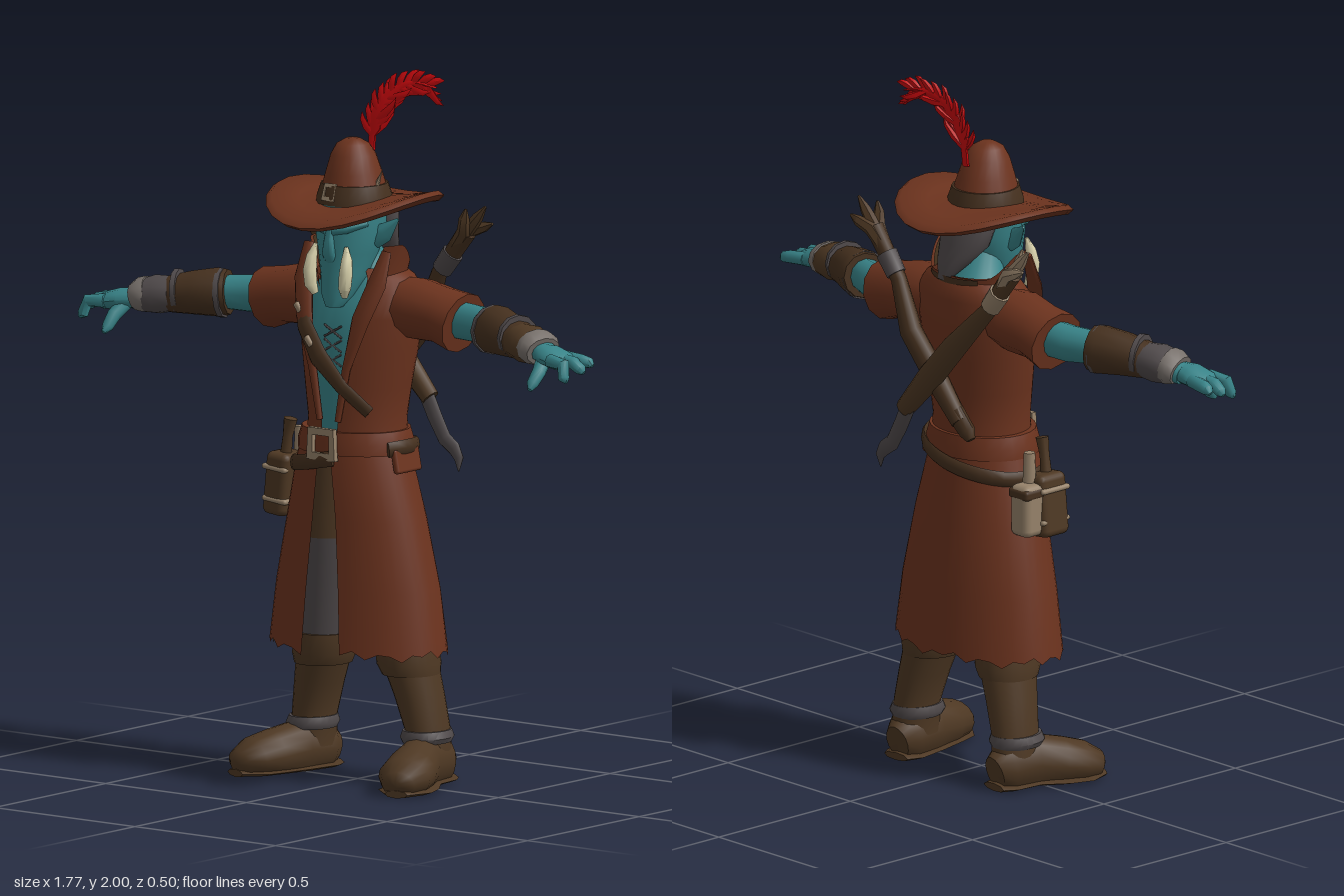
import * as THREE from 'three';
import { toCreasedNormals } from 'three/addons/utils/BufferGeometryUtils.js';
import { RoundedBoxGeometry } from 'three/addons/geometries/RoundedBoxGeometry.js';

const mat = (name, color, side = THREE.FrontSide) => {
  const m = new THREE.MeshStandardMaterial({ color, side });
  m.name = name;
  return m;
};
const V = (a) => new THREE.Vector3(a[0], a[1], a[2]);
const Y = new THREE.Vector3(0, 1, 0), Z = new THREE.Vector3(0, 0, 1);

// Skin over elliptical sections [x, y, z, halfWidth, halfHeight, frontGap].
// level: keep every section horizontal; up: direction of the section's height.
function tube(pts, { seg = 12, up = Z, level = false, caps = true, flip = false, jag = 0, inset = 0 } = {}) {
  const pos = [], idx = [], n = pts.length, w = seg + 1;
  pts.forEach((p, i) => {
    const T = level ? Y.clone() : V(pts[Math.min(i + 1, n - 1)]).sub(V(pts[Math.max(i - 1, 0)])).normalize();
    const S = T.clone().cross(up).normalize(), U = S.clone().cross(T), gap = p[5] || 0;
    for (let j = 0; j <= seg; j++) {
      const a = gap + (2 * Math.PI - 2 * gap) * j / seg;
      const v = V(p).addScaledVector(S, Math.sin(a) * (p[3] - inset)).addScaledVector(U, Math.cos(a) * (p[4] - inset));
      if (i === 0) v.y += jag * [0, 1, -0.6, 0.5, 0.2, -1, 0.4][j % 7];
      pos.push(v.x, v.y, v.z);
    }
  });
  const tri = (a, b, c) => (flip ? idx.push(a, c, b) : idx.push(a, b, c));
  for (let i = 0; i < n - 1; i++) for (let j = 0; j < seg; j++) {
    const a = i * w + j, b = a + w;
    tri(a, a + 1, b + 1);
    tri(a, b + 1, b);
  }
  if (caps) [0, n - 1].forEach((r, end) => {
    const c = pos.length / 3;
    pos.push(pts[r][0], pts[r][1], pts[r][2]);
    for (let j = 0; j < seg; j++) end ? tri(c, r * w + j, r * w + j + 1) : tri(c, r * w + j + 1, j);
  });
  const g = new THREE.BufferGeometry();
  g.setAttribute('position', new THREE.Float32BufferAttribute(pos, 3));
  g.setIndex(idx);
  return toCreasedNormals(g, 0.9);
}

// Move every vertex's height by a rule
function warpY(g, rule) {
  const p = g.attributes.position;
  for (let i = 0; i < p.count; i++) p.setY(i, rule(p.getX(i), p.getY(i), p.getZ(i)));
  g.computeVertexNormals();
  return toCreasedNormals(g, 0.9);
}

export function createModel() {
  const root = new THREE.Group();
  root.name = 'hunter';
  const M = {
    coat: mat('coat brown', 0x6c331e, THREE.DoubleSide), skin: mat('teal skin', 0x388388),
    boot: mat('boot brown', 0x4e3823), leather: mat('dark leather', 0x45301e),
    lining: mat('lining', 0x43301c), bone: mat('bone tan', 0x96826a), metal: mat('dark metal', 0x504a4b),
    tusk: mat('tusk cream', 0xd9d2ac), red: mat('feather red', 0xcc080d), pale: mat('pale grey wrap', 0x77706b),
  };
  const add = (name, g, m, p) => {
    const o = new THREE.Mesh(g, m);
    o.name = name;
    if (p) o.position.set(...p);
    root.add(o);
    return o;
  };
  const box = (name, size, m, p, r = 0.008) => add(name, new RoundedBoxGeometry(...size, 2, r), m, p);
  const level = { level: true, seg: 24 };

  // Bare chest, neck and head
  add('chest', tube([[0, 0.93, 0, 0.135, 0.115], [0, 1.1, 0, 0.145, 0.115], [0, 1.25, -0.01, 0.17, 0.125],
    [0, 1.37, -0.02, 0.18, 0.115], [0, 1.44, -0.03, 0.09, 0.08], [0, 1.52, 0, 0.06, 0.06]], level), M.skin);
  add('head', tube([[0, 1.35, 0.105, 0.025, 0.025], [0, 1.38, 0.085, 0.048, 0.048], [0, 1.44, 0.055, 0.066, 0.075],
    [0, 1.5, 0.04, 0.082, 0.09], [0, 1.56, 0.03, 0.1, 0.1], [0, 1.65, 0.025, 0.095, 0.095]], level), M.skin);
  add('nose', tube([[0, 1.59, 0.115, 0.012, 0.012], [0, 1.54, 0.128, 0.016, 0.014], [0, 1.5, 0.13, 0.022, 0.015],
    [0, 1.475, 0.118, 0.016, 0.01]]), M.skin);
  add('hair', tube([[0.02, 1.44, -0.125, 0.02, 0.012], [0.01, 1.49, -0.095, 0.055, 0.04], [0, 1.54, -0.065, 0.085, 0.052],
    [0, 1.6, -0.05, 0.097, 0.06], [0, 1.635, -0.04, 0.09, 0.055]], level), M.metal);
  for (const y of [1.2, 1.24, 1.28]) for (const r of [0.5, -0.5]) box('lace', [0.07, 0.006, 0.006], M.metal, [0, y, 0.112], 0.002).rotation.z = r;

  // Coat: outer shells with a lining just inside
  const skirt = [[-0.012, 0.375, -0.02, 0.284, 0.18, 0.24], [-0.012, 0.55, -0.018, 0.26, 0.168, 0.22],
    [-0.01, 0.75, -0.01, 0.216, 0.152, 0.19], [-0.01, 0.9, 0, 0.178, 0.14, 0.14], [-0.01, 0.98, 0, 0.155, 0.13, 0.1]];
  const jacket = [[0, 0.95, 0, 0.15, 0.13, 0.14], [0, 1.03, 0, 0.145, 0.128, 0.2], [0, 1.12, -0.003, 0.16, 0.13, 0.3],
    [0, 1.22, -0.01, 0.178, 0.135, 0.38], [0, 1.32, -0.017, 0.192, 0.132, 0.42], [0, 1.39, -0.022, 0.195, 0.122, 0.48],
    [0, 1.43, -0.03, 0.16, 0.108, 0.55], [0, 1.455, -0.03, 0.11, 0.09, 0.6]];
  const collar = [[0, 1.37, -0.02, 0.125, 0.11, 0.68], [0, 1.45, -0.015, 0.135, 0.11, 0.85], [0, 1.525, -0.01, 0.152, 0.115, 1.05]];
  const dip = (x, y, z) => y - Math.max(0, y - 1.37) * 0.45 * THREE.MathUtils.smoothstep(-z, 0, 0.1);
  for (const [name, rings, jag] of [['coatSkirt', skirt, 0.014], ['jacket', jacket, 0], ['collar', collar, 0]]) {
    const opt = { level: true, seg: 40, caps: false, jag };
    const shape = (o) => (name === 'collar' ? warpY(tube(rings, o), dip) : tube(rings, o));
    add(name, shape(opt), M.coat);
    add(name + 'Lining', shape({ ...opt, flip: true, inset: 0.008 }), M.lining);
  }
  add('collarBackBand', tube([[0, 1.425, -0.015, 0.137, 0.118, 2.4], [0, 1.455, -0.015, 0.142, 0.122, 2.4]],
    { level: true, seg: 16, caps: false }), M.leather);
  box('pocketFlap', [0.02, 0.07, 0.11], M.coat, [0.172, 0.92, 0]).rotation.z = 0.2;

  // Belts, buckle and chest strap
  add('belt', tube([[-0.005, 0.935, 0, 0.174, 0.146], [-0.005, 0.965, 0, 0.172, 0.146], [-0.005, 1.0, 0, 0.16, 0.14]], level), M.coat);
  const hip = [];
  for (let i = 0; i <= 28; i++) {
    const a = Math.PI * (0.06 - 1.7 * i / 28), x = Math.sin(a) * 0.186 - 0.01;
    hip.push([x, 0.922 + 0.2 * x, Math.cos(a) * 0.15, 0.008, 0.022]);
  }
  add('hipBelt', tube(hip, { seg: 8, up: Y }), M.leather);
  const frame = new THREE.Shape([[-0.05, -0.045], [0.05, -0.045], [0.045, 0.045], [-0.045, 0.045]].map((p) => new THREE.Vector2(...p)));
  frame.holes.push(new THREE.Path([[-0.03, -0.025], [-0.03, 0.025], [0.03, 0.025], [0.03, -0.025]].map((p) => new THREE.Vector2(...p))));
  const buckle = new THREE.ExtrudeGeometry(frame, { depth: 0.016, bevelEnabled: false });
  add('beltBuckle', buckle, M.bone, [-0.01, 0.965, 0.14]);
  add('chestStrap', tube([[-0.15, 1.42, -0.01, 0.02, 0.008], [-0.135, 1.37, 0.085, 0.024, 0.01], [-0.09, 1.29, 0.125, 0.028, 0.012],
    [-0.03, 1.21, 0.14, 0.032, 0.014], [0.05, 1.13, 0.137, 0.022, 0.01], [0.12, 1.06, 0.1, 0.02, 0.008]], { seg: 8 }), M.leather);
  for (const [x, y, z] of [[-0.118, 1.335, 0.115], [-0.06, 1.25, 0.142]]) box('strapStud', [0.02, 0.035, 0.02], M.bone, [x, y, z]).rotation.z = 0.7;

  // Hip pouch with flask
  box('pouch', [0.08, 0.18, 0.1], M.boot, [-0.245, 0.815, 0.02], 0.02).rotation.z = -0.1;
  for (const y of [0.77, 0.86]) box('pouchStrap', [0.086, 0.016, 0.106], M.bone, [-0.245, y, 0.02]).rotation.z = -0.1;
  box('flask', [0.075, 0.15, 0.08], M.bone, [-0.238, 0.81, -0.045], 0.02);
  box('flaskBand', [0.079, 0.03, 0.084], M.leather, [-0.238, 0.86, -0.045], 0.01);
  add('flaskNeck', new THREE.CylinderGeometry(0.016, 0.02, 0.1, 10), M.bone, [-0.228, 0.92, -0.03]);
  add('knifeHandle', tube([[-0.235, 0.87, 0.03, 0.018, 0.018], [-0.225, 0.95, 0.03, 0.014, 0.014], [-0.215, 1.0, 0.03, 0.02, 0.018]]), M.boot);

  // Hat
  const profile = [[0.08, 0], [0.16, -0.008], [0.235, -0.012], [0.25, 0.002], [0.235, 0.016], [0.16, 0.012], [0.08, 0.02]];
  const brim = new THREE.LatheGeometry(profile.map((p) => new THREE.Vector2(...p)), 24);
  add('hatBrim', warpY(brim, (x, y, z) => y + 1.63 + 0.55 * x * x - 0.5 * z * z - 0.05 * z), M.coat, [-0.01, 0, 0]);
  add('hatCrown', tube([[0, 1.61, 0.015, 0.108, 0.108], [0, 1.67, 0.015, 0.094, 0.096], [0, 1.72, 0.018, 0.078, 0.082],
    [0, 1.77, 0.02, 0.063, 0.065], [0, 1.8, 0.022, 0.046, 0.046], [0, 1.815, 0.022, 0.02, 0.02]], level), M.coat);
  add('hatBand', tube([[0, 1.635, 0.015, 0.107, 0.109], [0, 1.655, 0.015, 0.105, 0.107], [0, 1.69, 0.015, 0.093, 0.096]], level), M.leather);
  const hb = add('hatBuckle', buckle, M.bone, [-0.012, 1.67, 0.108]);
  hb.scale.set(0.45, 0.55, 0.5);
  hb.rotation.x = -0.3;
  add('hatTooth', new THREE.ConeGeometry(0.012, 0.08, 6), M.bone, [0.088, 1.7, 0.02]).rotation.z = -0.4;

  // Feather: quill, vane and curved barbs
  const quill = new THREE.CatmullRomCurve3([[0, 1.76, -0.06], [0.002, 1.83, -0.068], [0.022, 1.89, -0.075], [0.06, 1.94, -0.09], [0.12, 1.965, -0.11], [0.18, 1.955, -0.125]].map(V));
  const vane = [];
  for (let i = 0; i <= 14; i++) vane.push([...quill.getPoint(i / 14).toArray(), i < 3 ? 0.012 : 0.032 * (1.05 - i / 14), 0.007]);
  add('featherVane', tube(vane, { seg: 6 }), M.red);
  for (let i = 0; i < 12; i++) for (const s of [1, -1]) {
    const t = 0.14 + i * 0.07, p = quill.getPoint(t), d = quill.getTangent(t);
    const side = new THREE.Vector3(d.y, -d.x, (i % 3 - 1) * 0.25).multiplyScalar(s), L = (s > 0 ? 0.075 : 0.05) * (1.1 - 0.4 * t);
    const at = (f, o, r) => [...p.clone().addScaledVector(d, f * L).addScaledVector(side, o * L).toArray(), r, r * 0.6];
    add('featherBarb', tube([at(0, 0, 0.008), at(0.45, 0.4, 0.012), at(0.85, 0.65, 0.009), at(1.2, 0.72, 0.001)], { seg: 5 }), M.red);
  }

  for (const s of [1, -1]) {
    const m = (pts) => pts.map(([x, ...r]) => [s * x, ...r]);
    const limb = (name, pts, material, opt) => add(name, tube(m(pts), opt), material);
    const arm = { up: Y };

    // Face side parts
    limb('ear', [[0.08, 1.54, 0.03, 0.012, 0.03], [0.115, 1.56, 0.025, 0.01, 0.028], [0.155, 1.6, 0.015, 0.003, 0.004]], M.skin, arm);
    limb('brow', [[0.01, 1.565, 0.125, 0.012, 0.012], [0.05, 1.575, 0.115, 0.014, 0.014], [0.09, 1.59, 0.07, 0.01, 0.01]], M.skin, arm);
    limb('tusk', [[0.052, 1.385, 0.125, 0.01, 0.01], [0.06, 1.41, 0.135, 0.018, 0.018], [0.064, 1.45, 0.135, 0.019, 0.02],
      [0.062, 1.49, 0.128, 0.015, 0.016], [0.054, 1.525, 0.12, 0.005, 0.005]], M.tusk, { seg: 8 });

    // Lapel and sleeve
    limb('lapel', [[0.138, 1.51, 0.045, 0.016, 0.01], [0.13, 1.42, 0.08, 0.032, 0.012], [0.1, 1.32, 0.115, 0.03, 0.012],
      [0.06, 1.18, 0.128, 0.014, 0.01], [0.032, 1.03, 0.13, 0.01, 0.008]], M.coat, { seg: 8 });
    limb('sleeve', [[0.1, 1.35, -0.03, 0.08, 0.08], [0.2, 1.345, -0.033, 0.095, 0.088], [0.28, 1.335, -0.037, 0.088, 0.08],
      [0.345, 1.32, -0.037, 0.093, 0.087]], M.coat, arm);

    // Arm, bracer and wrist wrap
    limb('arm', [[0.28, 1.33, -0.04, 0.05, 0.055], [0.4, 1.325, -0.03, 0.05, 0.053], [0.47, 1.325, -0.005, 0.047, 0.048],
      [0.6, 1.32, 0.045, 0.045, 0.045], [0.74, 1.29, 0.08, 0.036, 0.03]], M.skin, arm);
    limb('bracer', [[0.465, 1.325, -0.01, 0.064, 0.064], [0.49, 1.323, 0.0, 0.07, 0.07], [0.56, 1.318, 0.03, 0.062, 0.062], [0.625, 1.31, 0.053, 0.055, 0.052]], M.leather, arm);
    for (const [x, r] of [[0.474, 0.07], [0.595, 0.062]]) {
      limb('bracerRim', [[x, 1.322, (x - 0.48) * 0.37, r, r], [x + 0.014, 1.321, (x - 0.466) * 0.37, r, r]], M.metal, arm);
    }
    limb('wristGuard', [[0.615, 1.312, 0.05, 0.056, 0.05], [0.66, 1.308, 0.063, 0.064, 0.055], [0.71, 1.3, 0.078, 0.06, 0.045]], s > 0 ? M.boot : M.metal, arm);
    limb('wristWrap', [[0.685, 1.308, 0.07, 0.062, 0.05], [0.705, 1.303, 0.077, 0.066, 0.05], [0.725, 1.297, 0.083, 0.056, 0.04]], M.pale, arm);

    // Hand
    limb('palm', [[0.71, 1.295, 0.08, 0.032, 0.028], [0.76, 1.29, 0.095, 0.05, 0.03], [0.81, 1.28, 0.1, 0.052, 0.025], [0.83, 1.275, 0.102, 0.038, 0.016]], M.skin, arm);
    for (const [z0, x1, y1, z1] of [[0.065, 0.877, 1.268, 0.055], [0.1, 0.882, 1.255, 0.1], [0.135, 0.865, 1.235, 0.155]]) {
      limb('finger', [[0.79, 1.285, z0, 0.02, 0.02], [0.845, 1.28, (z0 + z1) / 2, 0.02, 0.019], [x1 - 0.01, y1 + 0.008, z1, 0.017, 0.016], [x1, y1, z1, 0.007, 0.007]], M.skin, { up: Y, seg: 8 });
    }
    limb('thumb', [[0.745, 1.28, 0.105, 0.024, 0.022], [0.755, 1.25, 0.14, 0.02, 0.02], [0.755, 1.22, 0.17, 0.017, 0.016], [0.757, 1.205, 0.185, 0.007, 0.007]], M.skin, { up: Y, seg: 8 });

    // Trousers and boot
    limb('trouserKnee', [[0.145, 0.36, -0.04, 0.072, 0.082], [0.115, 0.58, -0.02, 0.082, 0.087], [0.102, 0.7, -0.013, 0.08, 0.088]], M.metal, level);
    limb('trouserThigh', [[0.104, 0.68, -0.014, 0.082, 0.09], [0.075, 0.93, 0, 0.075, 0.1]], M.boot, level);
    limb('bootShaft', [[0.205, 0.07, -0.06, 0.06, 0.075], [0.202, 0.15, -0.06, 0.058, 0.072], [0.178, 0.25, -0.052, 0.066, 0.078], [0.15, 0.35, -0.042, 0.074, 0.088]], M.boot, level);
    limb('bootCuff', [[0.156, 0.31, -0.043, 0.078, 0.088], [0.15, 0.34, -0.04, 0.086, 0.098], [0.143, 0.4, -0.037, 0.082, 0.095]], M.boot, level);
    limb('ankleStrap', [[0.203, 0.12, -0.055, 0.063, 0.077], [0.203, 0.135, -0.055, 0.071, 0.084], [0.202, 0.155, -0.056, 0.063, 0.077]], M.metal, level);
    const foot = tube(m([[0.2, 0.05, -0.135, 0.04, 0.05], [0.203, 0.06, -0.1, 0.062, 0.075], [0.215, 0.065, -0.01, 0.062, 0.08],
      [0.245, 0.055, 0.07, 0.074, 0.07], [0.268, 0.048, 0.13, 0.076, 0.058], [0.282, 0.035, 0.175, 0.05, 0.04], [0.286, 0.03, 0.19, 0.02, 0.02]]), { up: Y, seg: 16 });
    add('foot', warpY(foot, (x, y) => Math.max(0.008, y)), M.boot);
    limb('sole', [[0.2, 0.011, -0.14, 0.045, 0.011], [0.203, 0.011, -0.1, 0.066, 0.011], [0.215, 0.011, -0.01, 0.062, 0.011],
      [0.25, 0.011, 0.07, 0.078, 0.011], [0.27, 0.011, 0.13, 0.08, 0.011], [0.286, 0.011, 0.19, 0.035, 0.011]], M.boot, { up: Y, seg: 8 });

    // Crossed back weapon: stock, bindings and clawed tip
    const z = s > 0 ? -0.175 : -0.2, top = s > 0 ? 0.25 : 0.34;
    limb('weaponStock', [[top, 1.55, z, 0.028, 0.026], [top - 0.1, 1.42, z, 0.024, 0.022], [0.1, 1.28, z, 0.036, 0.03],
      [0, 1.17, z, 0.038, 0.03], [-0.1, 1.06, z, 0.028, 0.024]], s > 0 ? M.leather : M.boot, { seg: 10 });
    limb('weaponBinding', [[top - 0.09, 1.433, z, 0.03, 0.027], [top - 0.05, 1.485, z, 0.032, 0.03]], s > 0 ? M.metal : M.bone, { seg: 10 });
    for (const [dx, dy, dz] of [[0.065, 0.09, 0], [0.015, 0.08, 0.025], [0.07, 0.03, -0.025]]) {
      limb('weaponClaw', [[top - 0.05, 1.49, z, 0.02, 0.02], [top, 1.55, z + dz * 0.6, 0.021, 0.02], [top + dx * 0.6, 1.55 + dy * 0.5, z + dz, 0.016, 0.014],
        [top + dx, 1.55 + dy * 0.85, z + dz, 0.004, 0.004]], s > 0 ? M.boot : M.bone, { seg: 6 });
    }
  }

  // Hooked blade on one weapon, plain butt on the other
  add('weaponHook', tube([[0.08, 1.08, -0.2, 0.026, 0.016], [0.115, 1.01, -0.2, 0.026, 0.014], [0.15, 0.95, -0.2, 0.024, 0.012],
    [0.185, 0.925, -0.2, 0.022, 0.012], [0.205, 0.9, -0.195, 0.016, 0.01], [0.208, 0.865, -0.19, 0.002, 0.002]], { seg: 8 }), M.metal);
  add('weaponButt', tube([[-0.08, 1.085, -0.175, 0.03, 0.024], [-0.125, 1.035, -0.17, 0.026, 0.022], [-0.14, 1.015, -0.17, 0.014, 0.012]], { seg: 8 }), M.leather);
  return root;
}
